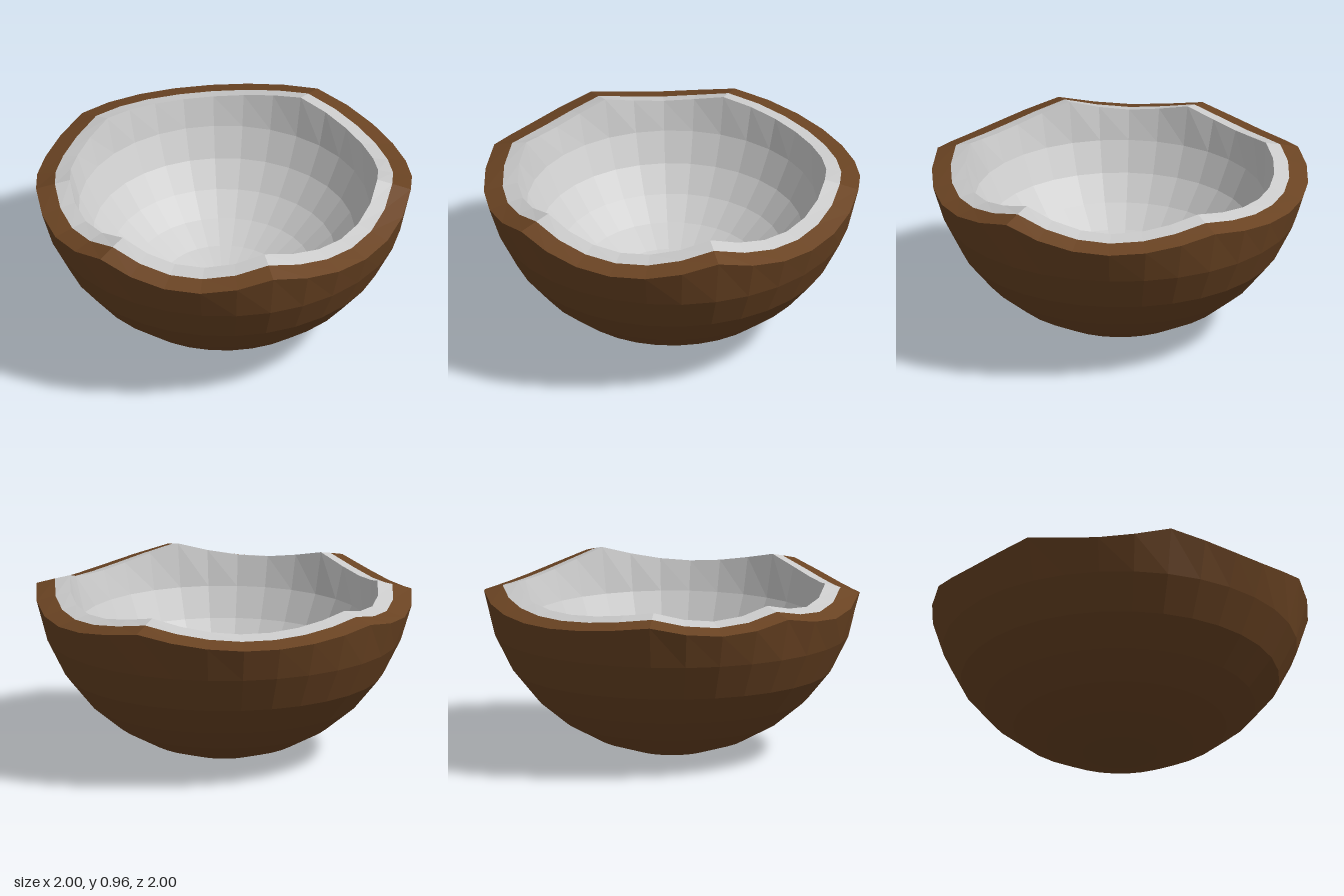
import * as THREE from 'three';

const SIDES = 32;
// peaks of the broken rim: [segment, height]
const PEAKS = [[0, 0.915], [6, 0.9], [11, 0.89], [15, 0.88], [19, 0.875], [26, 0.89], [32, 0.915]];
// bowl profile below the rim: [radius, height]
const PROFILE = [[0, 0.003], [0.2, 0.026], [0.39, 0.085], [0.567, 0.18], [0.72, 0.305], [0.847, 0.46], [0.942, 0.65]];
const CENTRE = 1.025, INNER = 0.82;

// height of the outer rim: sagging arcs between the peaks
function rimHeight(j) {
  const s = j % SIDES;
  const i = PEAKS.findIndex(([seg], k) => s >= seg && s < PEAKS[k + 1][0]);
  const [s0, h0] = PEAKS[i], [s1, h1] = PEAKS[i + 1];
  const t = (s - s0) / (s1 - s0);
  const low = 0.825;
  const peak = h0 + (h1 - h0) * t;
  return peak - (peak - low) * Math.sin(Math.PI * t);
}

// skin a list of rings; each ring is a radius and a height function
function skin(name, color, rings) {
  const pos = [], index = [];
  for (const [r, height] of rings) {
    for (let j = 0; j <= SIDES; j++) {
      const a = (j / SIDES) * Math.PI * 2;
      pos.push(r * Math.cos(a), height(j), r * Math.sin(a));
    }
  }
  const n = SIDES + 1;
  for (let k = 0; k < rings.length - 1; k++) {
    for (let j = 0; j < SIDES; j++) {
      const a = k * n + j, b = a + n;
      if (rings[k + 1][0] > 0) index.push(a, b, b + 1);
      if (rings[k][0] > 0) index.push(a, b + 1, a + 1);
    }
    // close the pole of the inner bowl
  }
  const geo = new THREE.BufferGeometry();
  geo.setAttribute('position', new THREE.Float32BufferAttribute(pos, 3));
  geo.setIndex(index);
  geo.computeVertexNormals();
  const mesh = new THREE.Mesh(geo, new THREE.MeshStandardMaterial({ color, flatShading: true }));
  mesh.name = name;
  return mesh;
}

export function createModel() {
  const group = new THREE.Group();
  group.name = 'halfCoconut';
  const bowl = (scale) => PROFILE.map(([r, y]) => [r * scale, () => CENTRE + (y - CENTRE) * scale]);
  const rim = (r, lift) => [r, (j) => rimHeight(j) + lift];

  // brown husk: outside of the bowl and the outer band of the rim
  group.add(skin('husk', 0x6b4423, [...bowl(1), rim(1, 0), rim(0.9, 0.027)]));

  // pale flesh: inner band of the rim and the hollow
  group.add(skin('flesh', 0xcccccc, [rim(0.9, 0.027), rim(INNER, 0.047), ...bowl(INNER).reverse()]));
  return group;
}
